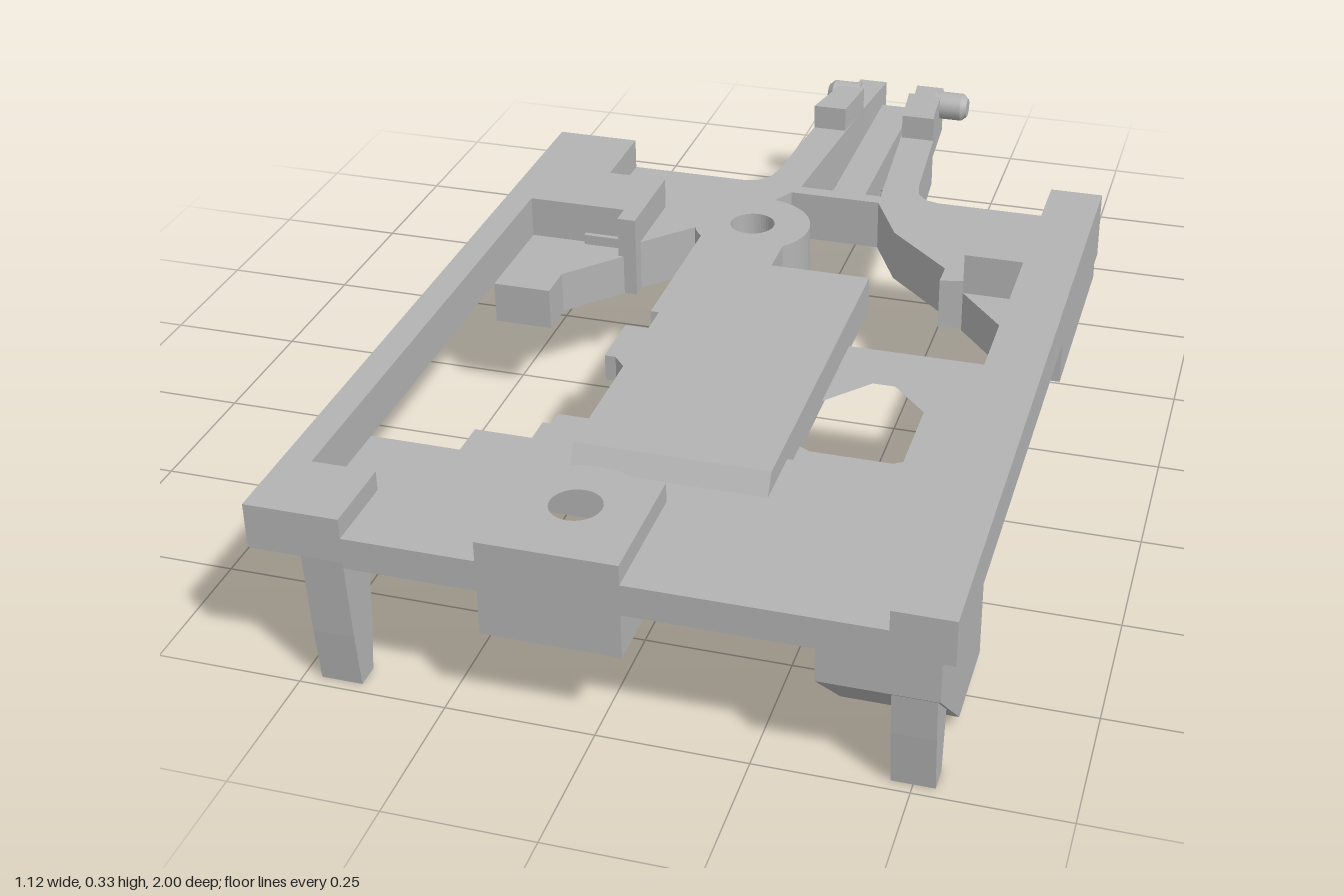
import * as THREE from 'three';

export function createModel() {
  const model = new THREE.Group();
  model.name = 'mountingFrame';
  const grey = new THREE.MeshStandardMaterial({ color: 0xb3b3b3 });
  grey.name = 'plain grey';

  const add = (name, geometry) => {
    const mesh = new THREE.Mesh(geometry, grey);
    mesh.name = name;
    model.add(mesh);
    return mesh;
  };
  const box = (name, x0, x1, y0, y1, z0, z1) =>
    add(name, new THREE.BoxGeometry(x1 - x0, y1 - y0, z1 - z0)
      .translate((x0 + x1) / 2, (y0 + y1) / 2, (z0 + z1) / 2));
  const outline = (pts) => pts.map(([x, z]) => new THREE.Vector2(x, -z));
  const circle = (x, z, r) => new THREE.Path().absarc(x, -z, r, 0, Math.PI * 2, true);

  // Flat slab from an x/z outline, between two heights
  const slab = (name, pts, y0, y1, holes = []) => {
    const shape = new THREE.Shape(outline(pts));
    shape.holes.push(...holes);
    const g = new THREE.ExtrudeGeometry(shape, { depth: y1 - y0, bevelEnabled: false, curveSegments: 20 });
    return add(name, g.rotateX(-Math.PI / 2).translate(0, y0, 0));
  };
  // Side profile in z/y, extruded across x
  const profile = (name, pts, x0, x1) => {
    const shape = new THREE.Shape(pts.map(([z, y]) => new THREE.Vector2(z, y)));
    const g = new THREE.ExtrudeGeometry(shape, { depth: x1 - x0, bevelEnabled: false });
    return add(name, g.rotateY(-Math.PI / 2).translate(x1, 0, 0));
  };

  // Side rails
  slab('leftHandRail', [[-0.56, -0.43], [-0.4, -0.43], [-0.4, -0.27], [-0.285, -0.27], [-0.285, -0.08],
    [-0.32, -0.08], [-0.32, -0.12], [-0.51, -0.12], [-0.51, 0.86], [-0.4, 0.86], [-0.4, 1], [-0.56, 1]], 0.25, 0.33);
  slab('rightHandRail', [[0.46, -0.43], [0.56, -0.43], [0.56, 1], [0.46, 1], [0.46, -0.11], [0.35, -0.11],
    [0.35, -0.27], [0.46, -0.27]], 0.25, 0.33);
  box('railSkirt', 0.46, 0.56, 0.17, 0.25, -0.39, 0.03);
  box('railSkirtEnd', 0.46, 0.56, 0.2, 0.25, -0.43, -0.39);

  // Front deck and the lower deck with its window
  slab('frontDeck', [[-0.4, 0.86], [-0.32, 0.86], [-0.32, 0.65], [-0.22, 0.65], [-0.22, 0.6], [0.46, 0.6],
    [0.46, 1], [0.05, 1], [0.05, 0.77], [-0.18, 0.77], [-0.18, 1], [-0.4, 1]], 0.24, 0.295);
  const window = new THREE.Path(outline([[0.2, 0.37], [0.27, 0.29], [0.31, 0.29], [0.375, 0.36],
    [0.375, 0.52], [0.36, 0.53], [0.22, 0.53], [0.2, 0.52]]));
  slab('lowerDeck', [[-0.13, 0.175], [0.46, 0.175], [0.46, 0.6], [-0.22, 0.6], [-0.22, 0.53], [-0.13, 0.53]],
    0.24, 0.27, [window]);
  slab('sideTab', [[-0.22, 0.175], [-0.13, 0.175], [-0.13, 0.37], [-0.2, 0.29], [-0.22, 0.29]], 0.2, 0.25);

  // Screw block at the front with a vertical hole
  slab('screwBlock', [[-0.18, 1], [-0.18, 0.77], [-0.13, 0.77], [-0.1, 0.758], [-0.065, 0.753], [-0.03, 0.758],
    [0, 0.77], [0.05, 0.77], [0.05, 1]], 0.16, 0.33, [circle(-0.065, 0.865, 0.043)]);

  // Raised centre plate with chamfered front, neck and pivot boss
  profile('centrePlate', [[0.025, 0.26], [0.73, 0.26], [0.73, 0.275], [0.695, 0.33], [0.025, 0.33]], -0.13, 0.2);
  slab('neck', [[-0.145, -0.06], [-0.11, -0.03], [-0.02, -0.03], [0.015, -0.06], [0.015, 0.03], [-0.13, 0.03],
    [-0.13, 0.25], [-0.145, 0.25]], 0.26, 0.33);
  const ring = new THREE.Shape().absarc(-0.065, 0.13, 0.11, 0, Math.PI * 2, false);
  ring.holes.push(circle(-0.065, -0.13, 0.042));
  add('pivotBoss', new THREE.ExtrudeGeometry(ring, { depth: 0.165, bevelEnabled: false, curveSegments: 24 })
    .rotateX(-Math.PI / 2).translate(0, 0.165, 0));

  // Rear bridge with angled gussets
  slab('rearBridge', [[-0.4, -0.43], [0.46, -0.43], [0.46, -0.27], [0.35, -0.12], [0.305, -0.11], [0.305, -0.16],
    [0.18, -0.28], [0.12, -0.4], [-0.06, -0.4], [-0.125, -0.28], [-0.285, -0.11], [-0.4, -0.11]], 0.17, 0.27);
  slab('rightHandGusset', [[0.46, -0.27], [0.46, 0.02], [0.35, -0.11], [0.35, -0.27]], 0.17, 0.25);
  slab('leftHandGusset', [[-0.51, -0.27], [-0.285, -0.27], [-0.285, -0.08], [-0.31, -0.08], [-0.4, 0.02],
    [-0.4, 0.09], [-0.51, 0.09]], 0.17, 0.25);

  // Rear fork, mirrored about its own centre line
  const mid = 0.035;
  for (const s of [-1, 1]) {
    const at = (pts) => pts.map(([x, z]) => [mid + s * x, z]);
    slab('forkArm', at([[0.085, -0.4], [0.05, -0.85], [0.035, -1], [0.095, -1], [0.105, -0.85], [0.13, -0.72],
      [0.147, -0.5], [0.155, -0.46], [0.175, -0.437], [0.21, -0.428], [0.21, -0.4]]), 0.17, 0.27);
    slab('armPad', at([[0.05, -0.84], [0.105, -0.84], [0.13, -0.72], [0.062, -0.72]]), 0.27, 0.32);
    add('pivotPin', new THREE.CylinderGeometry(0.03, 0.03, 0.06, 20).rotateZ(Math.PI / 2)
      .translate(mid + s * 0.115, 0.245, -0.965));
    add('pinTip', new THREE.CylinderGeometry(s > 0 ? 0.03 : 0.02, s > 0 ? 0.02 : 0.03, 0.012, 20)
      .rotateZ(Math.PI / 2).translate(mid + s * 0.151, 0.245, -0.965));
  }
  box('centreTongue', 0, 0.068, 0.17, 0.23, -0.965, -0.4);

  // Underside blocks and the two front legs
  profile('leftHandBlock', [[0.65, 0.19], [0.83, 0.185], [0.86, 0.215], [0.86, 0.25], [0.65, 0.25]], -0.52, -0.32);
  profile('rightHandBlock', [[1, 0.25], [1, 0.18], [0.83, 0.02], [0.66, 0.02], [0.66, 0.25]], 0.35, 0.54);
  const leg = [[1, 0.25], [0.99, 0.1], [0.98, 0], [0.938, 0], [0.922, 0.1], [0.91, 0.25]];
  profile('leftHandLeg', leg, -0.47, -0.4);
  profile('rightHandLeg', leg, 0.465, 0.535);
  return model;
}
